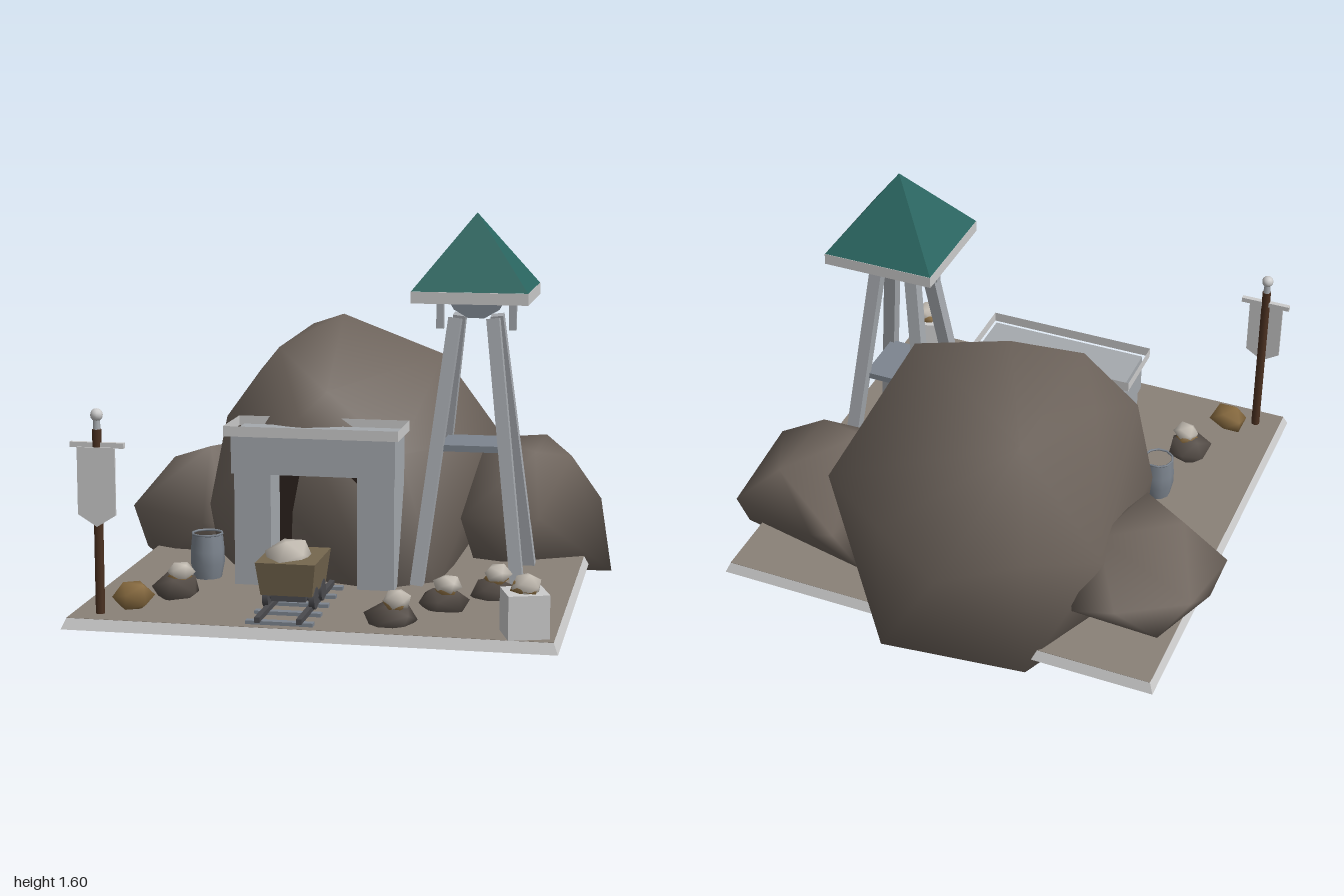
import * as THREE from 'three';
import { mergeVertices } from 'three/addons/utils/BufferGeometryUtils.js';
import { ConvexGeometry } from 'three/addons/geometries/ConvexGeometry.js';

const mat = (color, extra = {}) => new THREE.MeshStandardMaterial({ color, ...extra });
const GREY = mat(0xcccccc), STONE = mat(0xa5a9ae), STEEL = mat(0x7d858f), IRON = mat(0x4a4a4e);
const ROCK = mat(0x6e645c), GROUND = mat(0x8a8178), DARK = mat(0x2a211c), WOOD = mat(0x4a3020);
const CART = mat(0x75674f), GOLD = mat(0x876a3f), ORE = mat(0xc4bdb3), MOUND = mat(0x554d47);
const RIM = mat(0xcccccc, { flatShading: true, side: THREE.DoubleSide });
const ROOF = mat(0x29645f, { flatShading: true, side: THREE.DoubleSide });
const FLOOR = 0.16;

export function createModel() {
  const model = new THREE.Group();

  const add = (name, geometry, material, x = 0, y = 0, z = 0) => {
    const mesh = new THREE.Mesh(geometry, material);
    mesh.name = name;
    mesh.position.set(x, y, z);
    model.add(mesh);
    return mesh;
  };
  const box = (name, w, h, d, material, x, y, z) =>
    add(name, new THREE.BoxGeometry(w, h, d), material, x, y, z);

  // Open four-sided wall, w by d at the top, scaled by s at the foot
  const openWall = (w, h, d, s = 1) =>
    new THREE.CylinderGeometry(Math.SQRT1_2, Math.SQRT1_2 * s, h, 4, 1, true).rotateY(Math.PI / 4).scale(w, 1, d);

  // Box whose lower face is scaled
  const taperedBox = (w, h, d, s) => {
    const g = new THREE.BoxGeometry(w, h, d), p = g.attributes.position;
    for (let i = 0; i < p.count; i++)
      if (p.getY(i) < 0) p.setXYZ(i, p.getX(i) * s, p.getY(i), p.getZ(i) * s);
    g.computeVertexNormals();
    return g;
  };

  // Smooth-shaded faceted boulder wrapped around a few points
  const boulder = (name, points) => {
    let g = new ConvexGeometry(points.map(p => new THREE.Vector3(...p)));
    g.deleteAttribute('normal');
    g = mergeVertices(g, 1e-4);
    g.computeVertexNormals();
    return add(name, g, ROCK);
  };

  // Small angular stone
  const stone = (name, rx, ry, rz, material, x, y, z, seed) => {
    let g = new THREE.IcosahedronGeometry(1, 0);
    g.deleteAttribute('normal');
    g.deleteAttribute('uv');
    g = mergeVertices(g.rotateX(0.55).rotateY(seed), 1e-3);
    const p = g.attributes.position;
    for (let i = 0; i < p.count; i++) {
      const k = 1.04 + 0.12 * Math.sin(i * 12.99 + seed * 7.3);
      p.setXYZ(i, p.getX(i) * k * rx, p.getY(i) * k * ry, p.getZ(i) * k * rz);
    }
    g.computeVertexNormals();
    return add(name, g, material, x, y, z);
  };

  // Square beam between two points
  const beam = (name, a, b, t, material) => {
    const p = new THREE.Vector3(...a), q = new THREE.Vector3(...b), dir = q.clone().sub(p);
    const m = add(name, new THREE.BoxGeometry(t, dir.length(), t), material);
    m.position.copy(p).add(q).multiplyScalar(0.5);
    m.quaternion.setFromUnitVectors(new THREE.Vector3(0, 1, 0), dir.normalize());
    return m;
  };

  // Ground plate inside a light sloping rim, hollow below
  add('baseRim', openWall(1.785, 0.04, 1.785, 1.019), RIM, 0, 0.14, 0.085);
  box('groundPlate', 1.785, 0.02, 1.785, GROUND, 0, FLOOR - 0.009, 0.085);

  // Mountain and its two shoulders
  boulder('mountain', [
    [-0.1, 1.16, -0.26], [-0.33, 1.06, -0.73], [-0.33, 1.04, -0.07], [0.32, 1.01, -0.22], [-0.45, 0.92, -0.25],
    [-0.1, 0.89, 0.1], [-0.19, 0.8, 0.2], [-0.1, 0.55, -1], [-0.4, 0.6, -0.84],
    [0.2, 0.6, -0.85], [0.5, 0.62, -0.66], [-0.63, 0.52, -0.63], [-0.52, 0.77, 0.04], [-0.59, 0.41, 0.06],
    [-0.42, 0.62, 0.14], [0.2, 0.65, 0.12], [0.47, 0.66, -0.2], [0.36, 0.13, 0.2], [-0.64, 0.06, -0.3],
    [-0.4, 0.06, -0.84], [0.21, 0, 0.37], [0.2, 0.02, -0.87], [0.42, 0.2, -0.5], [-0.4, 0.05, 0.15]]);
  boulder('rightShoulderRock', [
    [-1, 0.33, -0.22], [-0.97, 0.4, -0.59], [-0.88, 0.3, -0.71], [-0.72, 0.4, -0.75], [-0.84, 0.53, -0.3],
    [-0.67, 0.59, -0.25], [-0.58, 0.57, -0.55], [-0.66, 0.3, -0.07], [-0.57, 0.3, -0.08], [-0.95, 0.15, -0.25],
    [-0.87, 0.1, -0.22], [-0.6, 0.1, -0.2], [-0.55, 0.35, -0.745], [-0.4, 0.3, -0.4]]);
  boulder('leftShoulderRock', [
    [1, 0.08, -0.46], [0.94, 0.35, -0.64], [0.53, 0.4, -0.78], [0.44, 0.42, -0.77], [0.83, 0.57, -0.42],
    [0.7, 0.61, -0.69], [0.48, 0.64, -0.4], [0.69, 0.6, -0.32], [0.72, 0.35, -0.18], [0.42, 0.37, -0.04],
    [0.6, 0.13, -0.22], [0.45, 0.13, -0.27], [0.4, 0.13, -0.62]]);

  // Mine portal: pillars, lintel, open cap moulding
  for (const s of [-1, 1]) box('portalPillar', 0.145, 0.44, 0.22, STONE, -0.095 + s * 0.2425, 0.38, 0.26);
  box('portalLintel', 0.645, 0.16, 0.22, STONE, -0.1, 0.68, 0.26);
  box('portalDarkness', 0.36, 0.44, 0.01, DARK, -0.095, 0.38, 0.21);
  add('portalCap', openWall(0.685, 0.04, 0.26), RIM, -0.104, 0.77, 0.265);

  // Rails and sleepers
  for (const x of [-0.18, -0.025]) box('rail', 0.02, 0.02, 0.6, IRON, x, 0.183, 0.66);
  for (const z of [0.38, 0.515, 0.65, 0.785, 0.925]) box('sleeper', 0.25, 0.015, 0.03, STEEL, -0.103, 0.167, z);

  // Ore cart
  add('cartTub', taperedBox(0.225, 0.125, 0.29, 0.86), CART, -0.105, 0.3, 0.685);
  stone('cartOre', 0.085, 0.075, 0.115, ORE, -0.115, 0.362, 0.69, 3);
  box('cartChassis', 0.13, 0.03, 0.2, IRON, -0.103, 0.225, 0.685);
  for (const z of [0.62, 0.75]) {
    for (const x of [-0.19, -0.015])
      add('cartWheel', new THREE.CylinderGeometry(0.042, 0.042, 0.022, 10).rotateZ(Math.PI / 2), IRON, x, 0.22, z);
    add('cartAxle', new THREE.CylinderGeometry(0.01, 0.01, 0.18, 6).rotateZ(Math.PI / 2), IRON, -0.103, 0.22, z);
  }

  // Headframe tower
  const tx = 0.487, tz = 0.037;
  for (const sx of [-1, 1]) for (const sz of [-1, 1])
    beam('towerLeg', [tx + sx * 0.197, FLOOR, tz + sz * 0.212], [tx + sx * 0.074, 1.195, tz + sz * 0.067], 0.05, STONE);
  box('towerPlatform', 0.25, 0.025, 0.25, STEEL, tx, 0.69, tz);

  // Winding wheel and its hangers
  add('windingWheel', new THREE.CylinderGeometry(0.125, 0.125, 0.03, 12).rotateX(Math.PI / 2).rotateZ(Math.PI / 12),
    STEEL, tx, 1.31, tz);
  for (const s of [-1, 1]) box('wheelHanger', 0.028, 0.25, 0.032, STONE, tx + s * 0.143, 1.27, tz);

  // Pyramid roof on a frame of eaves beams
  add('roof', new THREE.ConeGeometry(0.448 * Math.SQRT1_2, 0.29, 4, 1, true).rotateY(Math.PI / 4), ROOF, tx, 1.455, tz);
  for (const s of [-1, 1]) {
    box('eavesBeam', 0.45, 0.045, 0.035, GREY, tx, 1.287, tz + s * 0.2075);
    box('eavesBeam', 0.035, 0.045, 0.38, GREY, tx + s * 0.2075, 1.287, tz);
  }

  // Ore mounds
  [[-0.59, 0.575], [0.44, 0.575], [0.29, 0.82], [0.6, 0.375]].forEach(([x, z], i) => {
    const r = i === 3 ? 0.082 : 0.095;
    stone('moundRock', r, 0.06, r, MOUND, x, 0.185, z, i + 1);
    stone('moundGravel', 0.046, 0.035, 0.046, GOLD, x + 0.015, 0.235, z + 0.01, i + 5);
    stone('moundOre', 0.052, 0.04, 0.052, ORE, x + 0.022, 0.256, z + 0.015, i + 8);
  });
  stone('goldBoulder', 0.077, 0.062, 0.073, GOLD, -0.69, 0.212, 0.815, 2);

  // Open barrel
  add('barrel', new THREE.LatheGeometry([[0.055, 0], [0.067, 0.06], [0.067, 0.11], [0.06, 0.18]]
    .map(p => new THREE.Vector2(...p)), 10), STEEL, -0.545, FLOOR, 0.275);
  add('barrelHoop', new THREE.TorusGeometry(0.06, 0.005, 5, 10).rotateX(Math.PI / 2), STEEL, -0.545, 0.338, 0.275);

  // Crate of ore
  box('crate', 0.15, 0.16, 0.15, GREY, 0.78, 0.24, 0.89).rotation.y = 0.32;
  stone('crateGravel', 0.055, 0.035, 0.06, GOLD, 0.78, 0.33, 0.885, 6);
  stone('crateOre', 0.054, 0.045, 0.064, ORE, 0.785, 0.344, 0.885, 4);

  // Banner on a pole
  const bx = -0.79, bz = 0.89;
  add('bannerPole', new THREE.CylinderGeometry(0.018, 0.018, 0.71, 8), WOOD, bx, 0.495, bz);
  add('poleNeck', new THREE.CylinderGeometry(0.012, 0.016, 0.05, 8), STONE, bx, 0.865, bz);
  add('poleBall', new THREE.SphereGeometry(0.024, 10, 8), GREY, bx, 0.903, bz);
  box('bannerBar', 0.205, 0.02, 0.02, GREY, bx, 0.792, bz);
  const cloth = new THREE.Shape([[-0.072, 0], [-0.072, -0.25], [0, -0.295], [0.072, -0.25], [0.072, 0]]
    .map(p => new THREE.Vector2(...p)));
  add('bannerCloth', new THREE.ExtrudeGeometry(cloth, { depth: 0.008, bevelEnabled: false }), GREY, bx, 0.785, bz + 0.012);

  return model;
}
